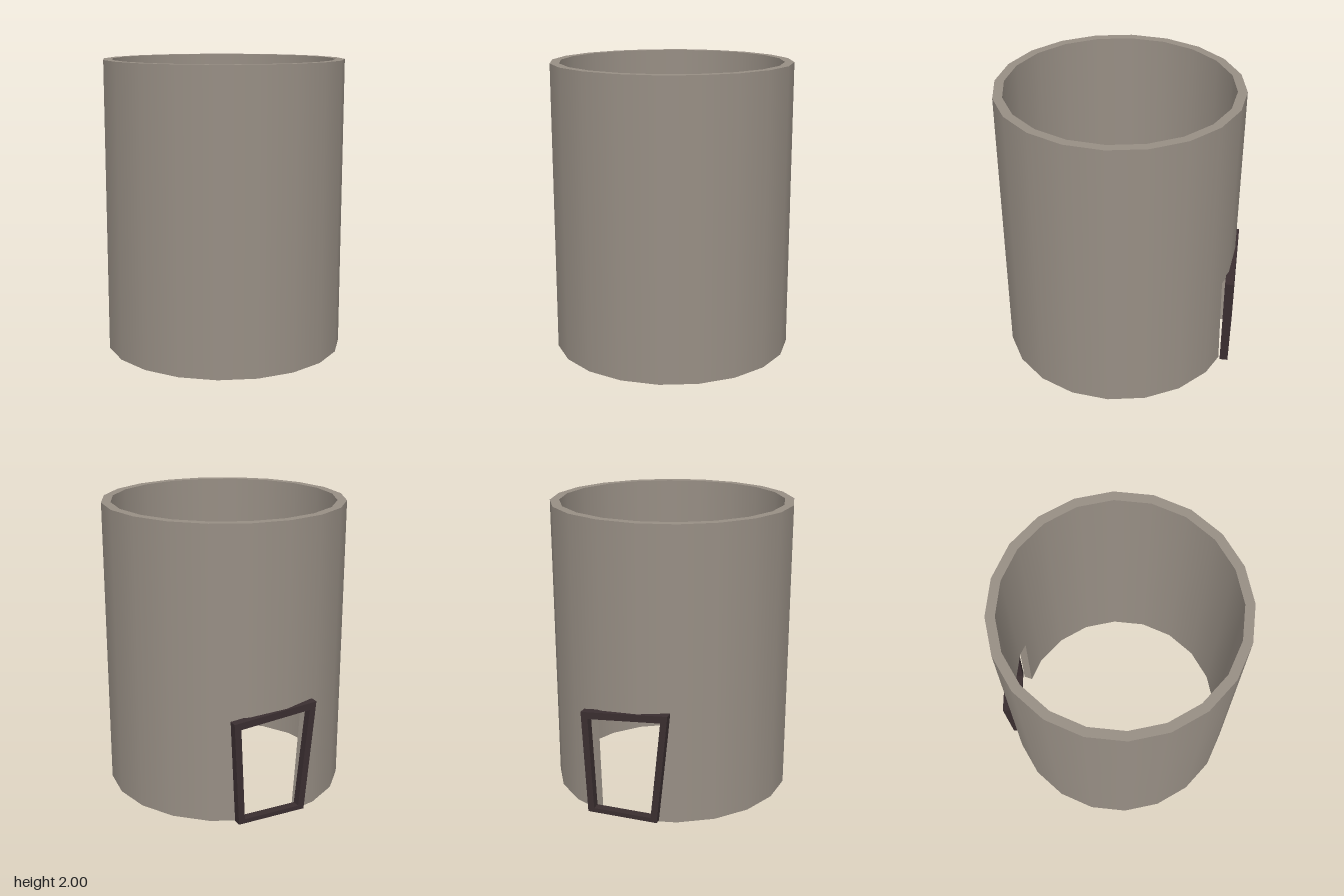
import * as THREE from 'three';

const SIDES = 20, HEIGHT = 2, OUTER = 0.826, INNER = 0.763;
const STEP = 360 / SIDES;

// Point on a regular polygon ring; angle in degrees from the back (-z) towards +x
function ringPoint(angle, radius, y) {
  const fromVertex = (((angle + STEP / 2) % STEP) + STEP) % STEP;
  const r = radius * Math.cos(THREE.MathUtils.degToRad(STEP / 2)) /
    Math.cos(THREE.MathUtils.degToRad(fromVertex - STEP / 2));
  const a = THREE.MathUtils.degToRad(angle);
  return new THREE.Vector3(r * Math.sin(a), y, -r * Math.cos(a));
}

// Hollow 20-sided tube with a tapered doorway cut through the back
function wallGeometry() {
  const positions = [], normals = [];

  // smooth: 1 outward, -1 inward, 0 flat
  function quad(corners, smooth) {
    const flat = new THREE.Vector3().subVectors(corners[1], corners[0])
      .cross(new THREE.Vector3().subVectors(corners[2], corners[0])).normalize();
    for (const i of [0, 1, 2, 0, 2, 3]) {
      const p = corners[i];
      const n = smooth ? new THREE.Vector3(p.x, 0, p.z).normalize().multiplyScalar(smooth) : flat;
      positions.push(p.x, p.y, p.z);
      normals.push(n.x, n.y, n.z);
    }
  }
  // Outer and inner skin between two edges, each edge given as [angle, y] bottom and top
  function skin(lo0, lo1, hi1, hi0) {
    const at = (radius) => [lo1, lo0, hi0, hi1].map(([a, y]) => ringPoint(a, radius, y));
    quad(at(OUTER), 1);
    quad(at(INNER).reverse(), -1);
  }
  function cap(a, b, up) {
    const c = [ringPoint(b[0], OUTER, b[1]), ringPoint(a[0], OUTER, a[1]),
      ringPoint(a[0], INNER, a[1]), ringPoint(b[0], INNER, b[1])];
    quad(up ? c : c.reverse(), 0);
  }
  function jamb(s, reverse) {
    const c = [ringPoint(s.lo, OUTER, 0), ringPoint(s.lo, INNER, 0),
      ringPoint(s.hi, INNER, s.y), ringPoint(s.hi, OUTER, s.y)];
    quad(reverse ? c.reverse() : c, 0);
  }

  // Stations run from one jamb round the front to the other, then over the doorway
  const stations = [{ lo: 13.7, hi: 15.7, y: 0.705 }];
  for (let k = 1; k <= 18; k++) {
    const a = STEP * (k + 0.5);
    stations.push({ lo: a, hi: a, y: 0.72 });
  }
  const lastJamb = stations.length;
  stations.push({ lo: 342.7, hi: 338, y: 0.75 });
  stations.push({ hi: 351, y: 0.735 }, { hi: 369, y: 0.715 }, { hi: 375.7, y: 0.705 });

  for (let i = 0; i < stations.length - 1; i++) {
    const s = stations[i], t = stations[i + 1];
    skin([s.hi, s.y], [t.hi, t.y], [t.hi, HEIGHT], [s.hi, HEIGHT]);
    cap([s.hi, HEIGHT], [t.hi, HEIGHT], true);
    if (i < lastJamb) {
      skin([s.lo, 0], [t.lo, 0], [t.hi, t.y], [s.hi, s.y]);
      cap([s.lo, 0], [t.lo, 0], false);
    } else {
      cap([s.hi, s.y], [t.hi, t.y], false); // doorway head
    }
  }
  jamb(stations[0], false);
  jamb(stations[lastJamb], true);

  const geometry = new THREE.BufferGeometry();
  geometry.setAttribute('position', new THREE.Float32BufferAttribute(positions, 3));
  geometry.setAttribute('normal', new THREE.Float32BufferAttribute(normals, 3));
  return geometry;
}

// Crooked door frame, wider at the top, with one higher corner
function frameGeometry() {
  const depth = 0.057;
  const vectors = (list) => list.map(([x, y]) => new THREE.Vector2(x, y));
  const shape = new THREE.Shape(vectors([[-0.225, 0.01], [0.265, 0.01], [0.3, 0.73], [-0.3, 0.78]]));
  shape.holes.push(new THREE.Path(vectors(
    [[-0.182, 0.04], [-0.252, 0.728], [0.252, 0.686], [0.222, 0.04]])));
  return new THREE.ExtrudeGeometry(shape, { depth, bevelEnabled: false }).translate(0, 0, -depth / 2);
}

export function createModel() {
  const stone = new THREE.MeshStandardMaterial({ color: 0x978e84 });
  stone.name = 'stone';
  const darkWood = new THREE.MeshStandardMaterial({ color: 0x3a2e30 });
  darkWood.name = 'darkWood';

  const model = new THREE.Group();
  model.name = 'roundTower';

  const wall = new THREE.Mesh(wallGeometry(), stone);
  wall.name = 'towerWall';
  wall.position.z = 0.025;
  wall.rotation.y = 0.007;
  model.add(wall);

  const frame = new THREE.Mesh(frameGeometry(), darkWood);
  frame.name = 'doorFrame';
  frame.position.set(-0.047, 0, -0.785);
  frame.rotation.y = 0.108;
  model.add(frame);

  return model;
}
